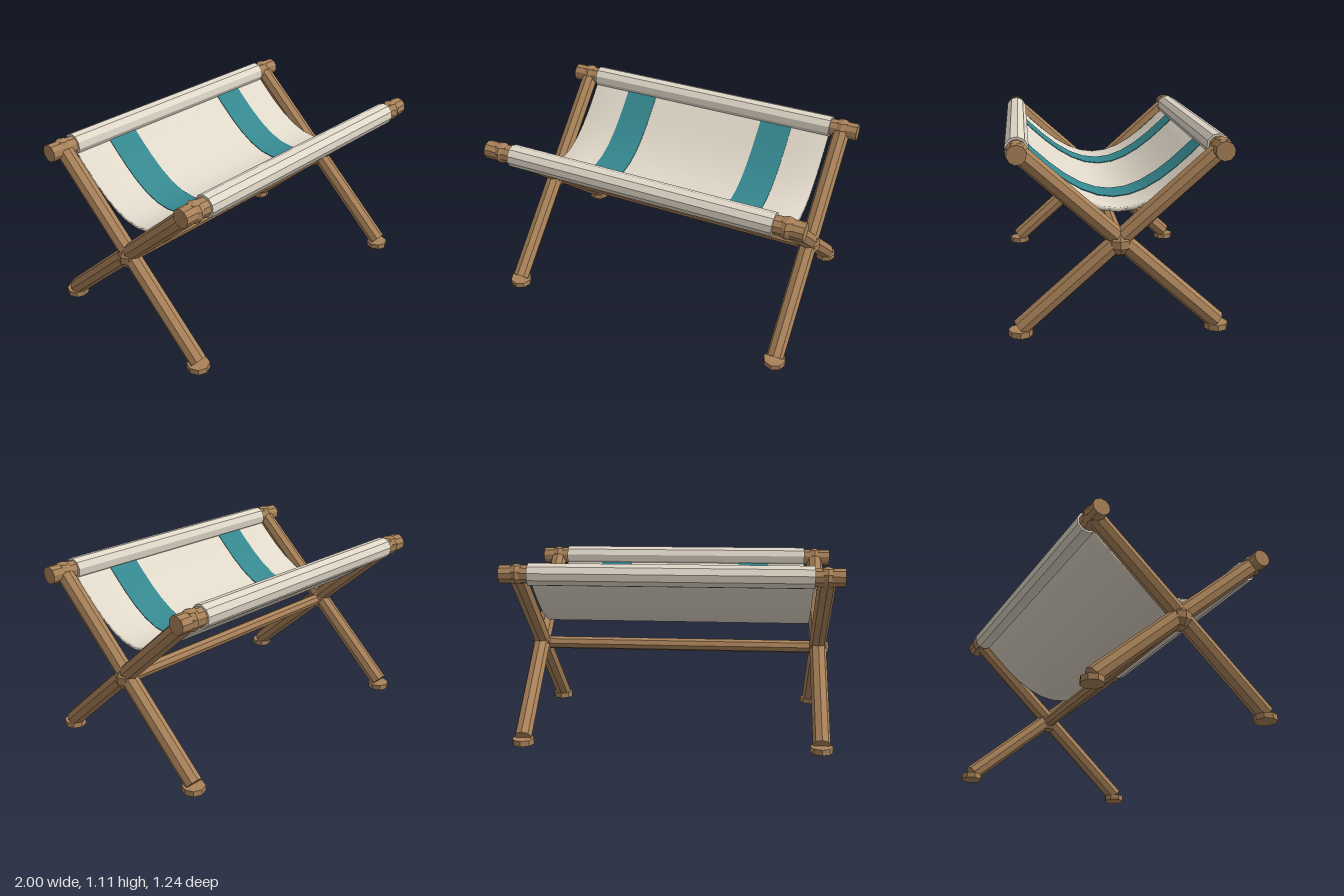
import * as THREE from 'three';
import { mergeVertices } from 'three/addons/utils/BufferGeometryUtils.js';

const RAIL_Y = 1.038, RAIL_Z = 0.553, LEG_X = 0.9, CROSS_Y = 0.52;

export function createModel() {
  const model = new THREE.Group();
  model.name = 'foldingStool';

  const wood = new THREE.MeshStandardMaterial({ color: 0xa98259, flatShading: true });
  wood.name = 'wood';
  const canvas = new THREE.MeshStandardMaterial({ color: 0xe0d8c9 });
  canvas.name = 'cream canvas';
  const hem = new THREE.MeshStandardMaterial({ color: 0xe0d8c9, flatShading: true });
  hem.name = 'cream canvas hem';
  const teal = new THREE.MeshStandardMaterial({ color: 0x35878f });
  teal.name = 'teal stripe';

  function add(name, geometry, material, x = 0, y = 0, z = 0) {
    const mesh = new THREE.Mesh(geometry, material);
    mesh.name = name;
    mesh.position.set(x, y, z);
    model.add(mesh);
    return mesh;
  }

  // Faceted rod between two points
  function rod(name, a, b, radius, sides, material, thetaStart = 0) {
    const dir = b.clone().sub(a);
    const geometry = new THREE.CylinderGeometry(radius, radius, dir.length(), sides, 1, false, thetaStart);
    const mid = a.clone().add(b).multiplyScalar(0.5);
    const mesh = add(name, geometry, material, mid.x, mid.y, mid.z);
    mesh.quaternion.setFromUnitVectors(new THREE.Vector3(0, 1, 0), dir.normalize());
    return mesh;
  }
  const v = (x, y, z) => new THREE.Vector3(x, y, z);

  // Crossed legs, feet, rail joints and pivots
  for (const side of [1, -1]) {
    const label = side > 0 ? 'left' : 'right';
    const x = side * LEG_X;
    for (const end of [1, -1]) {
      const place = label + (end > 0 ? 'Front' : 'Back');
      rod(place + 'Leg', v(x, 0.045, end * RAIL_Z), v(x, RAIL_Y, -end * RAIL_Z), 0.053, 8, wood);
      add(place + 'Foot', new THREE.CylinderGeometry(0.068, 0.068, 0.035, 8), wood, x, 0.0175, end * RAIL_Z);
      add(place + 'RailJoint', new THREE.SphereGeometry(0.064, 8, 5), wood, x, RAIL_Y, end * RAIL_Z);
    }
    add(label + 'Pivot', new THREE.SphereGeometry(0.072, 8, 5), wood, x, CROSS_Y, 0);
  }

  // Stretcher between the pivots
  rod('stretcher', v(-0.88, CROSS_Y, 0), v(0.88, CROSS_Y, 0), 0.04, 8, wood);

  // Top rails with their canvas sleeves
  for (const end of [1, -1]) {
    const label = end > 0 ? 'front' : 'back';
    rod(label + 'Rail', v(-1, RAIL_Y, end * RAIL_Z), v(1, RAIL_Y, end * RAIL_Z), 0.055, 10, wood, 0.19);
    rod(label + 'Sleeve', v(-0.828, RAIL_Y, end * RAIL_Z), v(0.828, RAIL_Y, end * RAIL_Z), 0.068, 10, hem, 0.19);
  }

  // Sheet sagging between the rails
  function saggingSheet(width, thickness, lift, xSegments) {
    const geometry = new THREE.BoxGeometry(width, thickness, 1.09, xSegments, 1, 12);
    const p = geometry.attributes.position;
    for (let i = 0; i < p.count; i++) {
      const sag = 0.342 * Math.cos((Math.PI / 2) * (p.getZ(i) / 0.55));
      p.setY(i, p.getY(i) + 1.03 - sag + lift);
    }
    geometry.computeVertexNormals();
    return geometry;
  }

  // Seat, with soft normals carried round its edges
  let seat = saggingSheet(1.656, 0.025, 0, 10);
  seat.deleteAttribute('normal');
  seat.deleteAttribute('uv');
  seat = mergeVertices(seat);
  seat.computeVertexNormals();
  add('seat', seat, canvas);

  // Stripes lying on the seat
  for (const side of [1, -1]) {
    add(side > 0 ? 'leftStripe' : 'rightStripe', saggingSheet(0.208, 0.008, 0.0135, 1), teal, side * 0.48);
  }

  return model;
}
